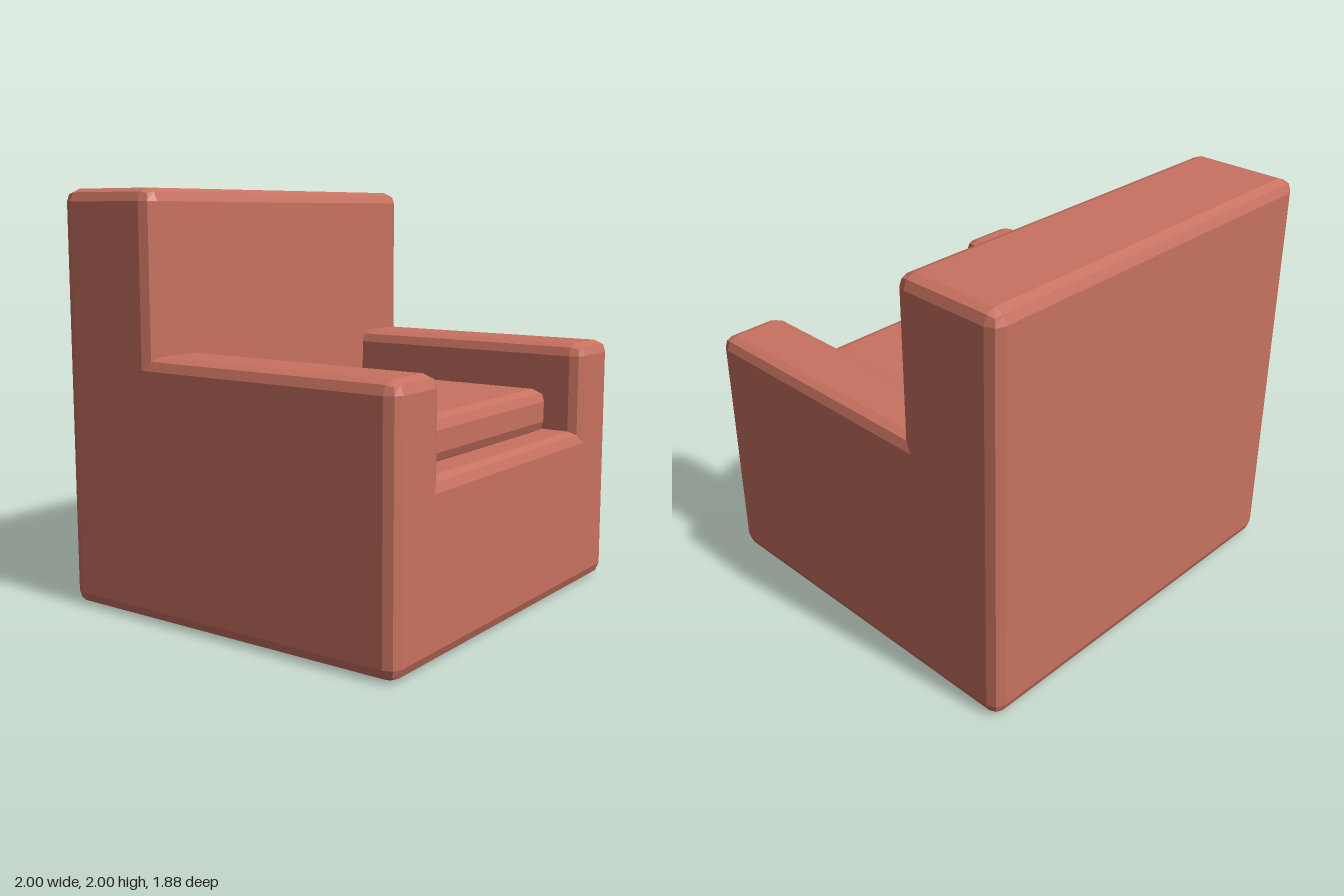
import * as THREE from 'three';
import { RoundedBoxGeometry } from 'three/addons/geometries/RoundedBoxGeometry.js';

const BEVEL = 0.06;

export function createModel() {
  const chair = new THREE.Group();
  chair.name = 'armchair';
  const fabric = new THREE.MeshStandardMaterial({ color: 0xc87260, flatShading: true });

  // Box with a two-facet bevel, given by its lowest and highest corners
  function block(name, [x0, y0, z0], [x1, y1, z1]) {
    const geometry = new RoundedBoxGeometry(x1 - x0, y1 - y0, z1 - z0, 1, BEVEL);
    const mesh = new THREE.Mesh(geometry, fabric);
    mesh.name = name;
    mesh.position.set((x0 + x1) / 2, (y0 + y1) / 2, (z0 + z1) / 2);
    chair.add(mesh);
  }

  // Frame: overlapping blocks that merge flush on the outside
  block('base', [-1, 0, -0.94], [1, 0.8, 0.94]);
  block('backrest', [-1, 0, -0.94], [1, 2, -0.38]);
  block('leftArm', [0.65, 0, -0.94], [1, 1.24, 0.94]);
  block('rightArm', [-1, 0, -0.94], [-0.65, 1.24, 0.94]);

  // Loose cushion resting on the base
  block('seatCushion', [-0.585, 0.8, -0.36], [0.585, 1.02, 0.805]);

  return chair;
}
